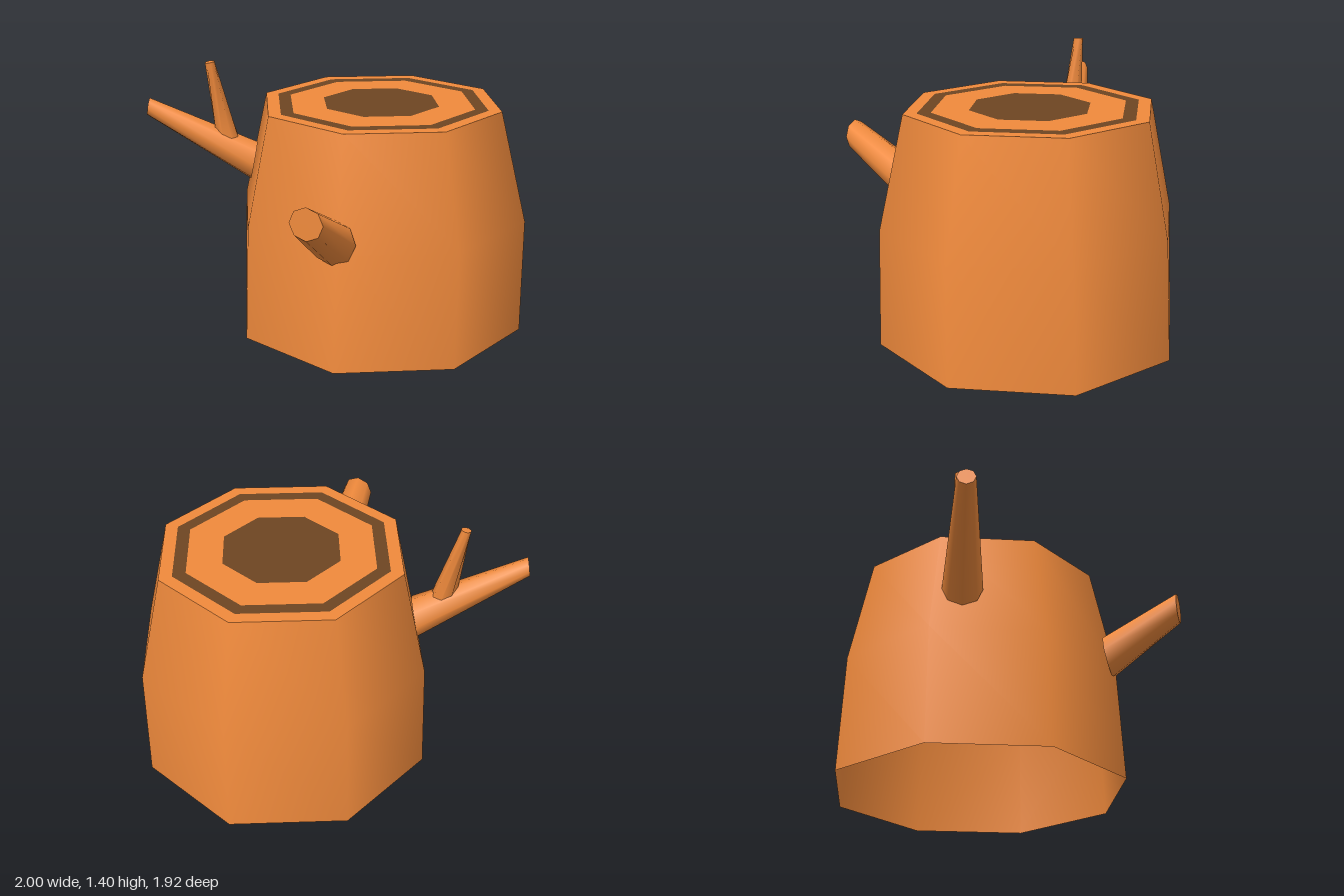
import * as THREE from 'three';

const SIDES = 8;
const CENTER = { x: 0.205, z: -0.165 };
const TOP = 1.2;

const wood = new THREE.MeshStandardMaterial({ color: 0xf08a3c, side: THREE.DoubleSide });
const bark = new THREE.MeshStandardMaterial({ color: 0x6e4522, side: THREE.DoubleSide });

// Tapered limb between two rings, each given by centre, radius and facing direction
function limb(name, start, end) {
  const geo = new THREE.CylinderGeometry(1, 1, 1, SIDES);
  const rings = [start, end].map(({ at, r, facing }) => {
    const n = new THREE.Vector3(...facing).normalize();
    const u = new THREE.Vector3(0, 1, 0).cross(n).normalize();
    return { c: new THREE.Vector3(...at), r, n, u, v: u.clone().cross(n) };
  });
  const pos = geo.attributes.position, nor = geo.attributes.normal;
  for (let i = 0; i < pos.count; i++) {
    const ring = rings[pos.getY(i) > 0 ? 1 : 0];
    const out = ring.u.clone().multiplyScalar(pos.getX(i)).addScaledVector(ring.v, pos.getZ(i));
    const p = ring.c.clone().addScaledVector(out, ring.r);
    const capDir = nor.getY(i);
    const n = Math.abs(capDir) > 0.9 ? ring.n.clone().multiplyScalar(Math.sign(capDir)) : out.normalize();
    pos.setXYZ(i, p.x, p.y, p.z);
    nor.setXYZ(i, n.x, n.y, n.z);
  }
  const mesh = new THREE.Mesh(geo, wood);
  mesh.name = name;
  return mesh;
}

// Flat eight-sided band on the cut face
function growthRing(name, inner, outer, material) {
  const geo = inner > 0
    ? new THREE.RingGeometry(inner, outer, SIDES)
    : new THREE.CircleGeometry(outer, SIDES);
  geo.rotateX(-Math.PI / 2);
  const mesh = new THREE.Mesh(geo, material);
  mesh.name = name;
  mesh.position.set(CENTER.x, TOP, CENTER.z);
  return mesh;
}

export function createModel() {
  const model = new THREE.Group();
  model.name = 'treeStump';

  // Trunk wall, open below
  const profile = [[0.795, 0], [0.765, 0.62], [0.645, TOP]].map(([r, y]) => new THREE.Vector2(r, y));
  const wallGeo = new THREE.LatheGeometry(profile, SIDES);
  const pos = wallGeo.attributes.position;
  // The middle ring is slightly wider from side to side
  for (let i = 0; i < pos.count; i++) {
    if (Math.abs(pos.getY(i) - 0.62) < 0.01) pos.setX(i, pos.getX(i) * 1.025 + 0.008);
  }
  const trunk = new THREE.Mesh(wallGeo, wood);
  trunk.name = 'trunk';
  trunk.position.set(CENTER.x, 0, CENTER.z);
  model.add(trunk);

  // Cut face with growth rings
  const cutFace = new THREE.Group();
  cutFace.name = 'cutFace';
  cutFace.add(
    growthRing('outerWood', 0.575, 0.645, wood),
    growthRing('darkRing', 0.505, 0.575, bark),
    growthRing('innerWood', 0.315, 0.505, wood),
    growthRing('heartwood', 0, 0.315, bark),
  );
  model.add(cutFace);

  // Sawn-off branch at the front
  model.add(limb('frontBranch',
    { at: [0.185, 0.675, 0.57], r: 0.115, facing: [0, 0.15, 1] },
    { at: [0.185, 0.91, 0.96], r: 0.082, facing: [0, 0, 1] }));

  // Long side branch and the twig growing from it
  model.add(limb('sideBranch',
    { at: [-0.465, 0.855, -0.03], r: 0.105, facing: [-0.93, 0.2, 0.35] },
    { at: [-0.983, 1.16, 0.165], r: 0.048, facing: [-0.95, 0.15, 0.3] }));
  model.add(limb('twig',
    { at: [-0.59, 0.95, 0.02], r: 0.066, facing: [-0.3, 1, 0] },
    { at: [-0.684, 1.393, 0.025], r: 0.026, facing: [-0.15, 1, 0.1] }));

  return model;
}
